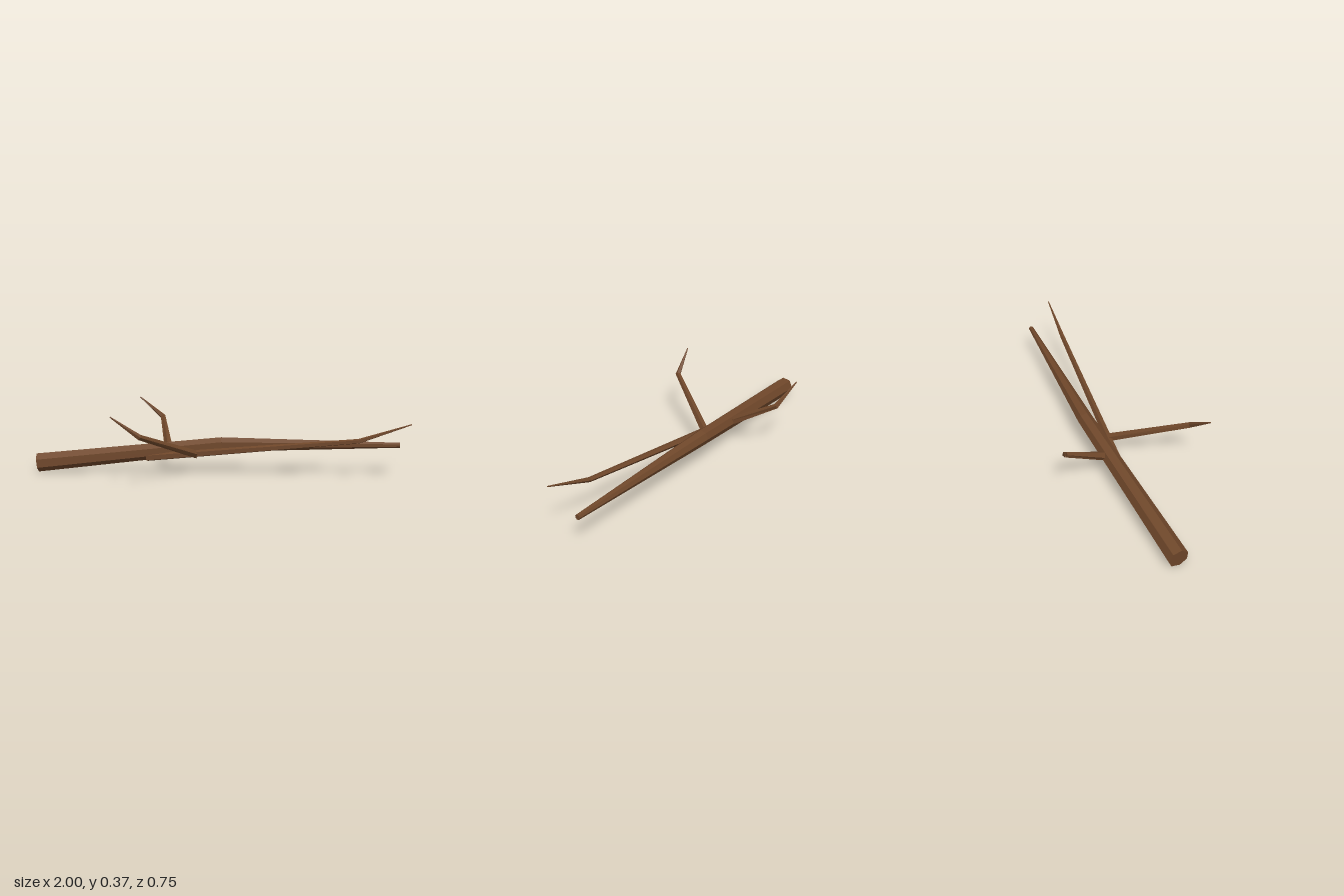
import * as THREE from 'three';

// Faceted, tapering limb through stations [x, y, z, radius], closed at both ends
function limb(name, stations, sides, material) {
  const points = stations.map(([x, y, z]) => new THREE.Vector3(x, y, z));
  const last = points.length - 1;
  const positions = [];
  const index = [];

  points.forEach((p, i) => {
    // Rings at a bend lie halfway between the two directions
    const tangent = new THREE.Vector3();
    if (i > 0) tangent.add(p.clone().sub(points[i - 1]).normalize());
    if (i < last) tangent.add(points[i + 1].clone().sub(p).normalize());
    tangent.normalize();
    const up = new THREE.Vector3(0, 1, 0).addScaledVector(tangent, -tangent.y).normalize();
    const side = new THREE.Vector3().crossVectors(tangent, up);
    for (let j = 0; j < sides; j++) {
      const a = -Math.PI / 2 + (j / sides) * Math.PI * 2;
      const r = stations[i][3];
      const v = p.clone().addScaledVector(up, Math.cos(a) * r).addScaledVector(side, Math.sin(a) * r);
      positions.push(v.x, v.y, v.z);
    }
  });

  // Side walls
  for (let i = 0; i < last; i++) {
    for (let j = 0; j < sides; j++) {
      const k = (j + 1) % sides;
      const a = i * sides + j, b = i * sides + k;
      index.push(a, b, b + sides, a, b + sides, a + sides);
    }
  }
  // End caps
  const end = last * sides;
  for (let j = 1; j < sides - 1; j++) {
    index.push(0, j + 1, j);
    index.push(end, end + j, end + j + 1);
  }

  const indexed = new THREE.BufferGeometry();
  indexed.setAttribute('position', new THREE.Float32BufferAttribute(positions, 3));
  indexed.setIndex(index);
  const geometry = indexed.toNonIndexed(); // separate faces give flat facets
  geometry.computeVertexNormals();
  const mesh = new THREE.Mesh(geometry, material);
  mesh.name = name;
  return mesh;
}

export function createModel() {
  const bark = new THREE.MeshStandardMaterial({ color: 0x6f472a });
  bark.name = 'brown bark';

  const group = new THREE.Group();
  group.name = 'fallenBranch';

  group.add(
    // Thick main stem with one gentle bend
    limb('mainStem', [[-0.995, 0.053, 0, 0.052], [0, 0.154, -0.107, 0.041], [0.953, 0.166, -0.13, 0.014]], 7, bark),
    // Long shoot running beside the stem
    limb('longShoot', [[-0.4, 0.085, -0.04, 0.022], [0.73, 0.207, 0.002, 0.013], [0.998, 0.3, 0, 0.003]], 5, bark),
    // Short crooked twigs
    limb('frontTwig', [[-0.13, 0.109, -0.035, 0.022], [-0.362, 0.267, 0.333, 0.015], [-0.498, 0.372, 0.37, 0.003]], 5, bark),
    limb('backTwig', [[-0.283, 0.118, -0.08, 0.024], [-0.362, 0.264, -0.333, 0.015], [-0.498, 0.367, -0.37, 0.003]], 5, bark)
  );
  return group;
}
